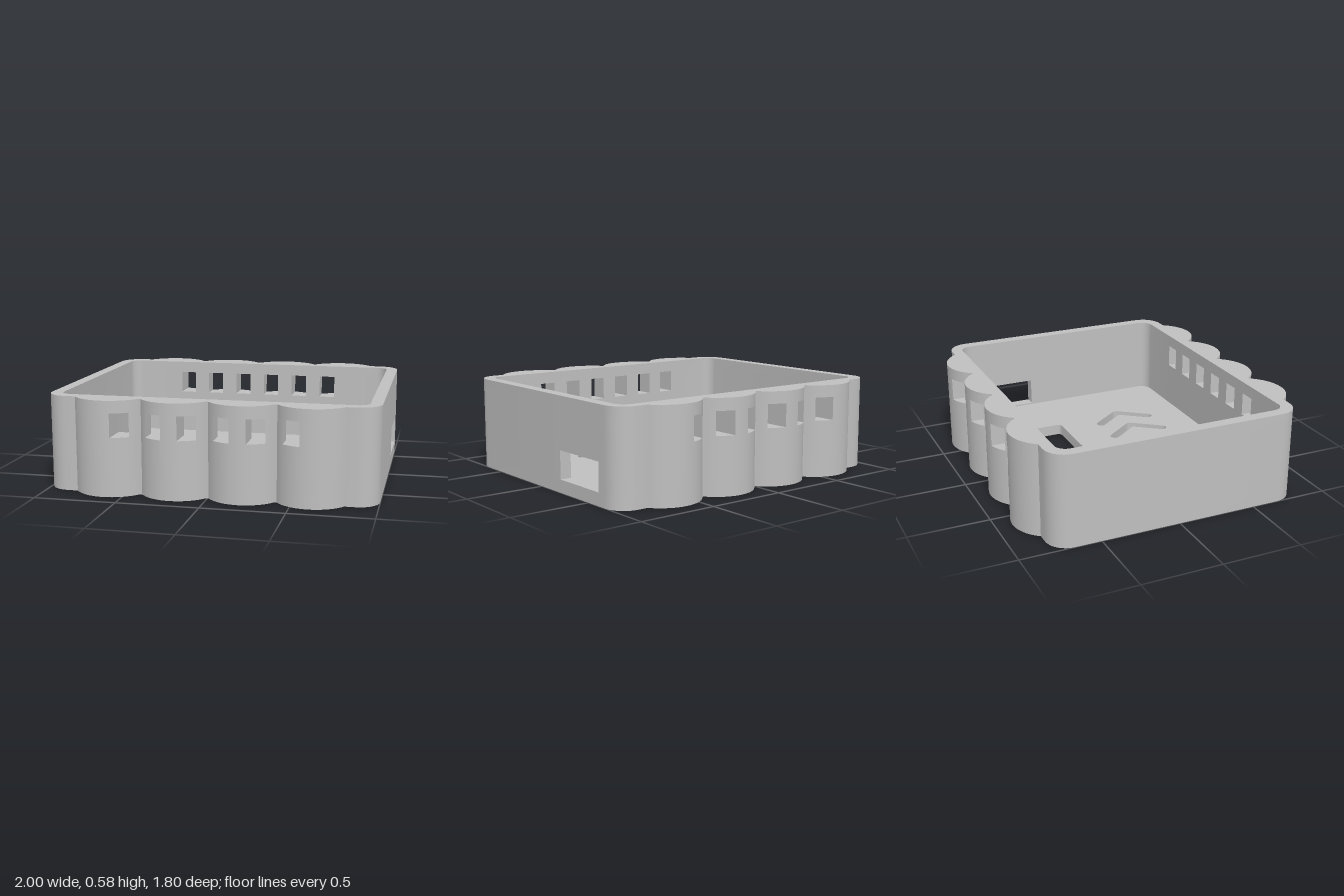
import * as THREE from 'three';
import { toCreasedNormals } from 'three/addons/utils/BufferGeometryUtils.js';

const HEIGHT = 0.578, FLOOR = 0.07, DEPTH = 0.797, WALL = 0.072;
const PI = Math.PI, EPS = 1e-4;

// Plan points are [x, z]; loops run left to right along the front, then back along the rear.
function arc(cx, cz, r, a0, a1, n = 8) {
  return Array.from({ length: n + 1 }, (_, i) => {
    const a = a0 + (a1 - a0) * i / n;
    return [cx + r * Math.cos(a), cz + r * Math.sin(a)];
  });
}

// Front half of a rounded rectangle, with optional points between its corners
function frontEdge(hx, hz, r, middle = []) {
  return [...arc(r - hx, hz - r, r, PI, PI / 2), ...middle, ...arc(hx - r, hz - r, r, PI / 2, 0)];
}

// Mirror a front edge to the rear, joining both into a closed loop
function closeLoop(front, side = []) {
  return [...front, ...side, ...front.map(([x, z]) => [x, -z]).reverse()];
}

// Add points to an edge at given x positions
function splitAt(edge, xs) {
  for (const x of xs) {
    const i = edge.findIndex((p, k) => k > 0 && edge[k - 1][0] < x && p[0] > x);
    if (i < 0) continue;
    const [a, b] = [edge[i - 1], edge[i]];
    edge.splice(i, 0, [x, a[1] + (b[1] - a[1]) * (x - a[0]) / (b[0] - a[0])]);
  }
  return edge;
}

// Arrow-shaped slot with rounded ends and tip
function chevron(vx, cz, dx, dz, r) {
  const f = Math.atan2(dz, -dx), q = PI / 2;
  return [
    ...arc(vx - dx, cz + dz, r, f + q, f - q),
    ...arc(vx, cz, r, f - q, q - f),
    ...arc(vx - dx, cz - dz, r, q - f, -f - q),
    [vx - r / Math.sin(f), cz],
  ];
}

export function createModel() {
  const out = [];

  const quad = (a, b, y0, y1, flip) => {
    const c = [[a[0], y0, a[1]], [b[0], y0, b[1]], [b[0], y1, b[1]], [a[0], y1, a[1]]];
    if (flip) c.reverse();
    for (const i of [0, 1, 2, 0, 2, 3]) out.push(...c[i]);
  };

  // Flat horizontal face
  const cap = (loop, holes, y, up) => {
    const vec = l => l.map(([x, z]) => new THREE.Vector2(x, -z));
    const shape = new THREE.Shape(vec(loop));
    shape.holes = holes.map(h => new THREE.Path(vec(h)));
    const g = new THREE.ShapeGeometry(shape).rotateX(-PI / 2).translate(0, y, 0);
    const p = g.attributes.position, idx = Array.from(g.index.array);
    if (!up) idx.reverse();
    for (const i of idx) out.push(p.getX(i), p.getY(i), p.getZ(i));
  };

  // Openings: six windows front and rear, one port in the left side
  const openings = [], splits = [];
  for (let i = 0; i < 6; i++) {
    const c = -0.0025 + 0.203 * (i - 2.5), w = 0.052;
    splits.push(c - w, c + w);
    for (const s of [1, -1]) openings.push({
      y0: 0.358, y1: 0.503,
      has: ([x, z]) => z * s > 0.7 && Math.abs(x - c) < w + EPS,
    });
  }
  const port = [-0.21, -0.605];
  openings.push({
    y0: 0.08, y1: 0.255,
    has: ([x, z]) => x > 0.9 && z < port[0] + EPS && z > port[1] - EPS,
  });

  // Scalloped outer outline and plain inner outline
  const half = 0.196, rise = 0.103;
  const R = (half * half + rise * rise) / (2 * rise), h = Math.asin(half / R);
  const lobes = [-0.609, -0.203, 0.203, 0.609].flatMap(
    c => arc(c, DEPTH + rise - R, R, PI / 2 + h, PI / 2 - h, 24));
  const ix = 1 - WALL, iz = DEPTH - WALL;
  const outer = closeLoop(splitAt(frontEdge(1, DEPTH, 0.13, lobes), splits), port.map(z => [1, z]));
  const inner = closeLoop(splitAt(frontEdge(ix, iz, 0.07), splits), port.map(z => [ix, z]));

  // Vertical wall around a loop, leaving out the openings
  const wall = (loop, levels, flip) => loop.forEach((a, i) => {
    const b = loop[(i + 1) % loop.length];
    for (let k = 1; k < levels.length; k++) {
      const y0 = levels[k - 1], y1 = levels[k];
      const open = openings.some(o => o.y0 === y0 && o.y1 === y1 && o.has(a) && o.has(b));
      if (!open) quad(a, b, y0, y1, flip);
    }
  });
  const bands = [0.08, 0.255, 0.358, 0.503, HEIGHT];
  wall(outer, [0, ...bands], false);
  wall(inner, [FLOOR, ...bands], true);

  // Sills, lintels and jambs of the openings
  for (const o of openings) {
    const a = outer.filter(o.has), b = inner.filter(o.has);
    const ring = [...a, ...[...b].reverse()];
    cap(ring, [], o.y0, true);
    cap(ring, [], o.y1, false);
    quad(a[a.length - 1], b[b.length - 1], o.y0, o.y1, true);
    quad(b[0], a[0], o.y0, o.y1, true);
  }

  // Floor cut-outs: one long slot and a row of chevrons
  const cuts = [closeLoop(frontEdge(0.493, 0.144, 0.03)).map(([x, z]) => [x - 0.003, z - 0.302])];
  for (let i = 0; i < 5; i++) cuts.push(chevron(-0.403 + 0.23 * i, 0.287, 0.135, 0.18, 0.031));
  for (const c of cuts) wall(c, [0, FLOOR], true);

  // Underside, floor and rim
  cap(outer, cuts, 0, false);
  cap(inner, cuts, FLOOR, true);
  cap(outer, [inner], HEIGHT, true);

  const geometry = new THREE.BufferGeometry();
  geometry.setAttribute('position', new THREE.Float32BufferAttribute(out, 3));
  const grey = new THREE.MeshStandardMaterial({ color: 0xbfbfbf });
  grey.name = 'light grey';
  const tray = new THREE.Mesh(toCreasedNormals(geometry, 0.6), grey);
  tray.name = 'scallopedTray';
  const group = new THREE.Group();
  group.name = 'openTray';
  group.add(tray);
  return group;
}
